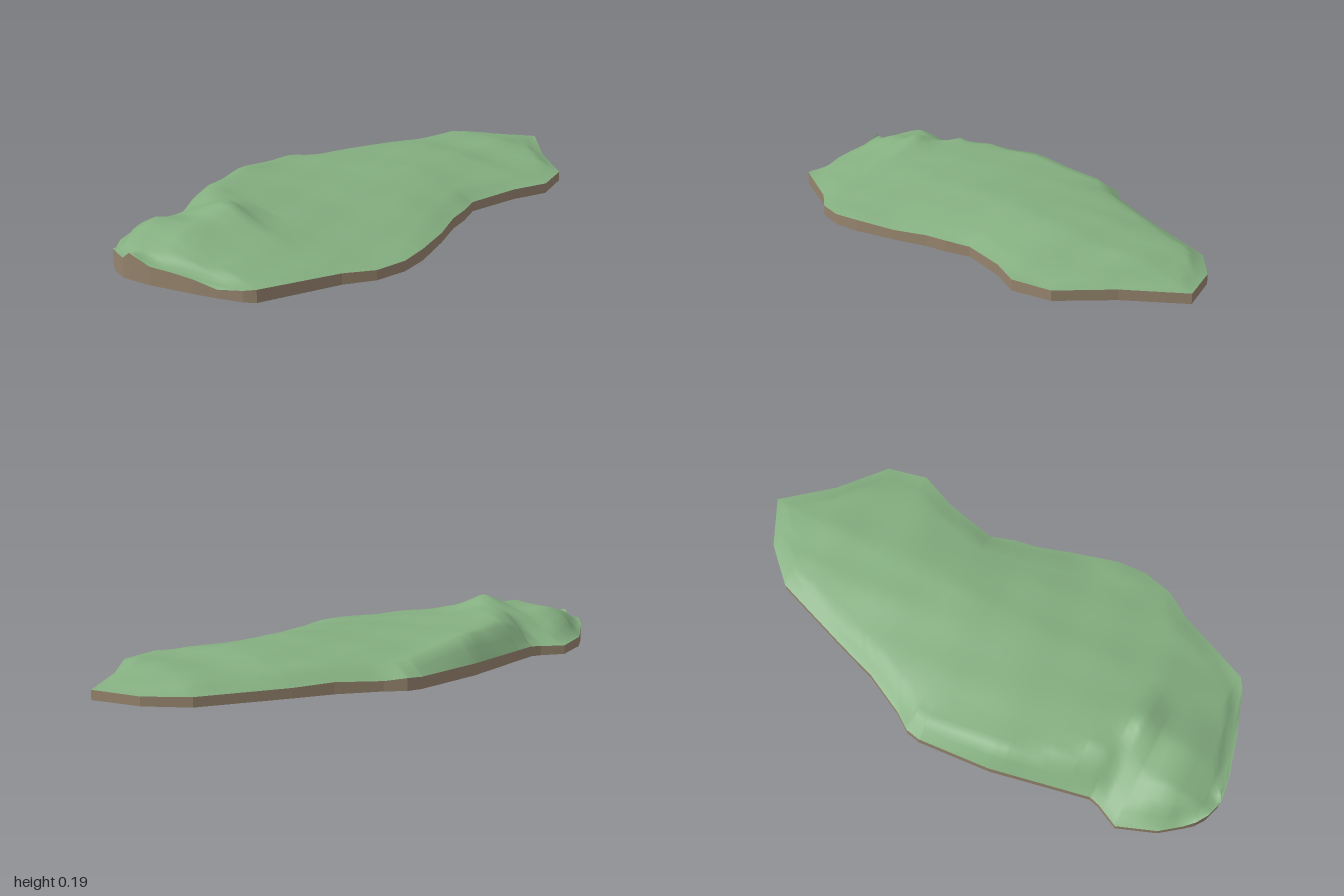
import * as THREE from 'three';
import { mergeVertices } from 'three/addons/utils/BufferGeometryUtils.js';

// Shoreline chains from the back tip to the front end: [x, z, rim height]
const leftShore = [
  [0.09, -1, 0.035], [-0.08, -0.915, 0.033], [-0.2, -0.79, 0.035], [-0.31, -0.47, 0.036],
  [-0.355, -0.33, 0.042], [-0.43, -0.175, 0.036], [-0.475, -0.11, 0.045], [-0.485, -0.055, 0.043],
  [-0.46, 0.22, 0.043], [-0.38, 0.585, 0.038], [-0.39, 0.625, 0.035], [-0.43, 0.71, 0.033],
  [-0.375, 0.85, 0.036], [-0.32, 0.92, 0.04], [-0.29, 0.955, 0.062], [-0.25, 0.982, 0.075], [-0.19, 1, 0.07],
];
const rightShore = [
  [0.09, -1, 0.035], [0.24, -0.825, 0.036], [0.405, -0.69, 0.035], [0.44, -0.54, 0.038],
  [0.385, -0.41, 0.038], [0.34, -0.21, 0.036], [0.37, -0.115, 0.04], [0.385, -0.03, 0.04],
  [0.43, 0.1, 0.036], [0.475, 0.265, 0.042], [0.485, 0.375, 0.038], [0.46, 0.49, 0.036],
  [0.395, 0.59, 0.04], [0.28, 0.865, 0.045], [0.245, 0.89, 0.04], [0.16, 0.92, 0.03],
  [0.08, 0.945, 0.05], [0, 0.966, 0.06], [-0.08, 0.987, 0.065], [-0.16, 0.998, 0.095], [-0.19, 1, 0.07],
];

// Coarse relief: one row of heights per z, one column per x
const reliefX = [-0.4, -0.32, -0.24, -0.08, 0.08, 0.24, 0.4];
const relief = [
  { z: -1, h: [0.035, 0.035, 0.035, 0.035, 0.035, 0.035, 0.035] },
  { z: -0.88, h: [0.04, 0.04, 0.043, 0.05, 0.055, 0.045, 0.04] },
  { z: -0.75, h: [0.045, 0.045, 0.055, 0.08, 0.085, 0.065, 0.045] },
  { z: -0.6, h: [0.045, 0.05, 0.06, 0.078, 0.08, 0.065, 0.045] },
  { z: -0.47, h: [0.05, 0.06, 0.08, 0.1, 0.1, 0.077, 0.045] },
  { z: -0.2, h: [0.07, 0.09, 0.1, 0.11, 0.115, 0.077, 0.04] },
  { z: 0.05, h: [0.1, 0.105, 0.11, 0.113, 0.11, 0.085, 0.05] },
  { z: 0.28, h: [0.132, 0.13, 0.128, 0.12, 0.105, 0.08, 0.055] },
  { z: 0.46, h: [0.1, 0.14, 0.142, 0.13, 0.11, 0.08, 0.05] },
  { z: 0.54, h: [0.06, 0.12, 0.168, 0.14, 0.11, 0.08, 0.05] },
  { z: 0.63, h: [0.045, 0.06, 0.125, 0.19, 0.118, 0.075, 0.047] },
  { z: 0.73, h: [0.045, 0.08, 0.12, 0.142, 0.105, 0.067, 0.045] },
  { z: 0.81, h: [0.045, 0.1, 0.145, 0.145, 0.092, 0.055, 0.04] },
  { z: 0.98, h: [0.035, 0.045, 0.08, 0.068, 0.046, 0.03, 0.03] },
];

const { lerp, clamp } = THREE.MathUtils;

// Index and fraction of v within an ascending list
function locate(list, v) {
  let i = 0;
  while (i < list.length - 2 && v > list[i + 1]) i++;
  return [i, clamp((v - list[i]) / (list[i + 1] - list[i]), 0, 1)];
}

function shoreX(chain, z) {
  const [i, f] = locate(chain.map((p) => p[1]), z);
  return lerp(chain[i][0], chain[i + 1][0], f);
}

// Distance to the shore and the rim height at its nearest point
function nearestShore(x, z) {
  let best = { d: Infinity, rim: 0 };
  for (const chain of [leftShore, rightShore]) {
    for (let i = 0; i < chain.length - 1; i++) {
      const [ax, az, ah] = chain[i], [bx, bz, bh] = chain[i + 1];
      const dx = bx - ax, dz = bz - az;
      const f = clamp(((x - ax) * dx + (z - az) * dz) / (dx * dx + dz * dz), 0, 1);
      const d = Math.hypot(x - ax - f * dx, z - az - f * dz);
      if (d < best.d) best = { d, rim: lerp(ah, bh, f) };
    }
  }
  return best;
}

function height(x, z) {
  const [r, fz] = locate(relief.map((row) => row.z), z);
  const [c, fx] = locate(reliefX, x);
  const a = lerp(relief[r].h[c], relief[r].h[c + 1], fx);
  const b = lerp(relief[r + 1].h[c], relief[r + 1].h[c + 1], fx);
  const bumps = 0.0025 * Math.sin(17 * x + 9 * z) * Math.sin(15 * z - 12 * x);
  const { d, rim } = nearestShore(x, z);
  return lerp(rim, lerp(a, b, fz) + bumps, Math.min(1, d / 0.055));
}

function indexedGeometry(positions, index) {
  const g = new THREE.BufferGeometry();
  g.setAttribute('position', new THREE.Float32BufferAttribute(positions, 3));
  g.setIndex(index);
  return g;
}

export function createModel() {
  const grass = new THREE.MeshStandardMaterial({ color: 0x84ae80 });
  grass.name = 'grass green';
  const earth = new THREE.MeshStandardMaterial({ color: 0x95846d });
  earth.name = 'earth brown';

  const group = new THREE.Group();
  group.name = 'island';
  const add = (name, geometry, material) => {
    const mesh = new THREE.Mesh(geometry, material);
    mesh.name = name;
    group.add(mesh);
  };

  // Rows follow every shore corner plus an even spacing
  const zs = [...leftShore, ...rightShore].map((p) => p[1]);
  for (let i = 1; i < 40; i++) zs.push(-1 + i / 20);
  const rows = [...new Set(zs.map((z) => +z.toFixed(3)))].sort((a, b) => a - b);
  const cols = 28;

  // Grassy top, stretched between the two shores
  const top = [], topIndex = [], left = [], right = [];
  rows.forEach((z, r) => {
    const x0 = shoreX(leftShore, z), x1 = shoreX(rightShore, z);
    for (let c = 0; c <= cols; c++) {
      const x = lerp(x0, x1, c / cols);
      const p = [x, height(x, z), z];
      top.push(...p);
      if (c === 0) left.push(p);
      if (c === cols) right.push(p);
      if (r < rows.length - 1 && c < cols) {
        const a = r * (cols + 1) + c, b = a + cols + 1;
        topIndex.push(a, b, a + 1, b, b + 1, a + 1);
      }
    }
  });
  const ground = mergeVertices(indexedGeometry(top, topIndex), 1e-5);
  ground.computeVertexNormals();
  add('grassTop', ground, grass);

  // Earth bank around the shore
  const loop = [...left, ...right.slice(1, -1).reverse()];
  const bank = [], bankIndex = [];
  loop.forEach((p, i) => {
    const q = loop[(i + 1) % loop.length], k = i * 4;
    bank.push(...p, p[0], 0, p[2], ...q, q[0], 0, q[2]);
    bankIndex.push(k, k + 1, k + 2, k + 1, k + 3, k + 2);
  });
  const bankGeometry = indexedGeometry(bank, bankIndex);
  bankGeometry.computeVertexNormals();
  add('earthBank', bankGeometry, earth);

  // Flat underside
  const outline = new THREE.Shape(loop.map((p) => new THREE.Vector2(p[0], p[2])));
  add('underside', new THREE.ShapeGeometry(outline).rotateX(Math.PI / 2), earth);

  return group;
}
